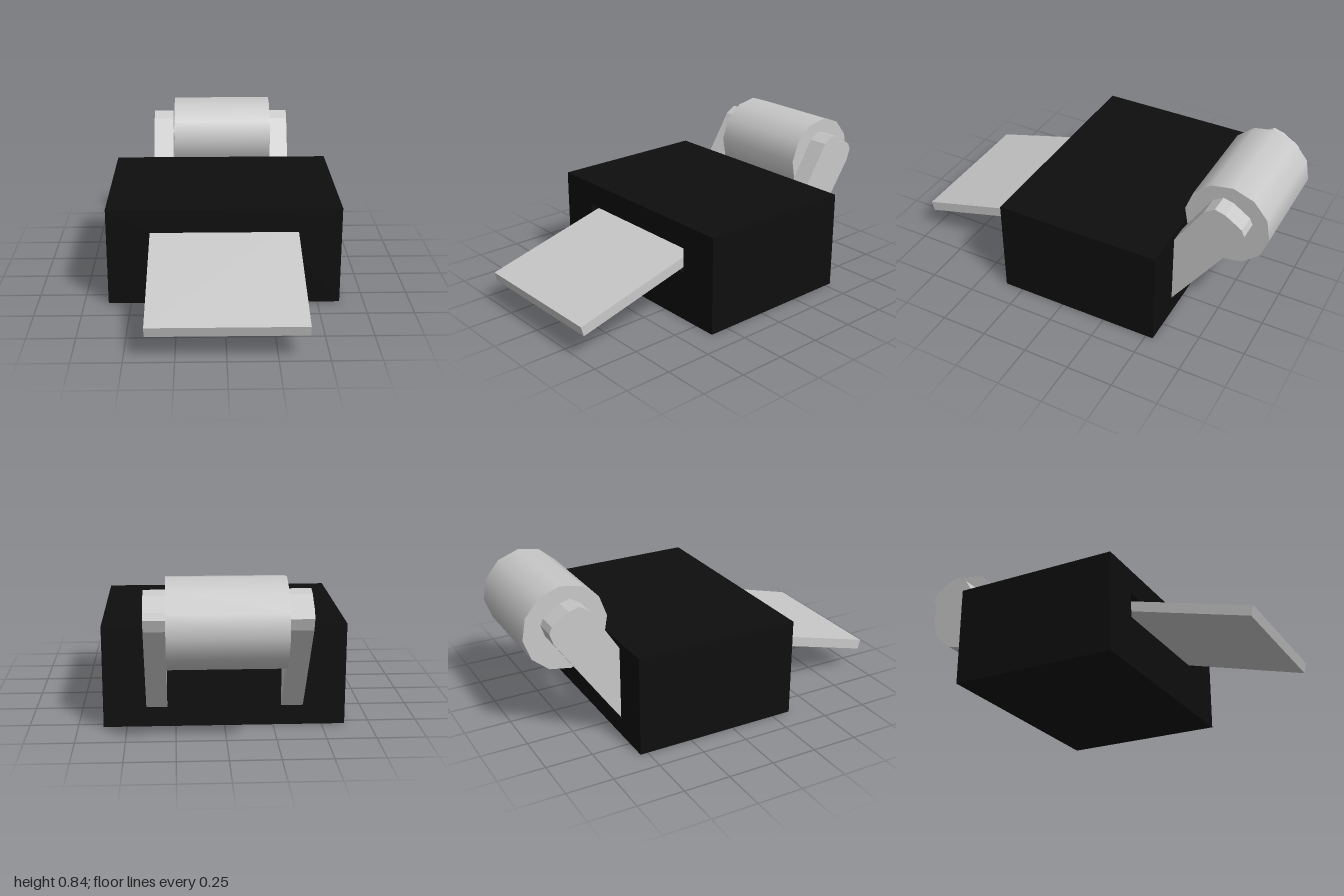
import * as THREE from 'three';

const housingBlack = new THREE.MeshStandardMaterial({ name: 'housing black', color: 0x0e0e0e });
const lightGrey = new THREE.MeshStandardMaterial({ name: 'light grey', color: 0xc8c8c8 });

// Side profile given as [z, y] points, extruded along x from x0 to x1
function sideProfile(points, x0, x1) {
  const shape = new THREE.Shape(points.map(([z, y]) => new THREE.Vector2(-z, y)));
  const geometry = new THREE.ExtrudeGeometry(shape, { depth: x1 - x0, bevelEnabled: false });
  return geometry.rotateY(Math.PI / 2).translate(x0, 0, 0);
}

// Cylinder lying along x from x0 to x1
function axle(radius, sides, x0, x1, y, z, start) {
  return new THREE.CylinderGeometry(radius, radius, x1 - x0, sides, 1, false, start)
    .rotateZ(Math.PI / 2)
    .translate((x0 + x1) / 2, y, z);
}

export function createModel() {
  const model = new THREE.Group();
  model.name = 'printer';
  const add = (name, geometry, material, parent = model) => {
    const mesh = new THREE.Mesh(geometry, material);
    mesh.name = name;
    parent.add(mesh);
  };

  // Housing: solid rear block and a front frame around the paper slot
  const width = 1.24, height = 0.535, back = -0.54, split = 0.1, front = 0.355;
  const housing = new THREE.Group();
  housing.name = 'housing';
  model.add(housing);
  add('housingRear', new THREE.BoxGeometry(width, height, split - back)
    .translate(0, height / 2, (split + back) / 2), housingBlack, housing);

  const rect = (x0, x1, y0, y1) => [[x0, y0], [x1, y0], [x1, y1], [x0, y1]]
    .map(([x, y]) => new THREE.Vector2(x, y));
  const face = new THREE.Shape(rect(-width / 2, width / 2, 0, height));
  face.holes.push(new THREE.Path(rect(-0.395, 0.4, 0.27, 0.405)));
  add('housingFront', new THREE.ExtrudeGeometry(face, { depth: front - split, bevelEnabled: false })
    .translate(0, 0, split), housingBlack, housing);

  // Sloping output tray running into the slot
  add('outputTray', sideProfile(
    [[1, 0.183], [0.986, 0.13], [0.155, 0.355], [0.17, 0.407]], -0.395, 0.4), lightGrey);

  // Arms that hold the paper roll
  const armProfile = [
    [-0.53, 0.09], [-0.885, 0.6], [-0.905, 0.66], [-0.89, 0.695],
    [-0.8, 0.755], [-0.745, 0.77], [-0.69, 0.735], [-0.53, 0.485],
  ];
  add('rightArm', sideProfile(armProfile, -0.403, -0.29), lightGrey);
  add('leftArm', sideProfile(armProfile, 0.293, 0.4), lightGrey);

  // Paper roll on its pin
  add('paperRoll', axle(0.227, 12, -0.28, 0.293, 0.614, -0.772, Math.PI / 36), lightGrey);
  add('rollPin', axle(0.045, 12, -0.3, -0.27, 0.62, -0.775, 0), lightGrey);

  return model;
}
